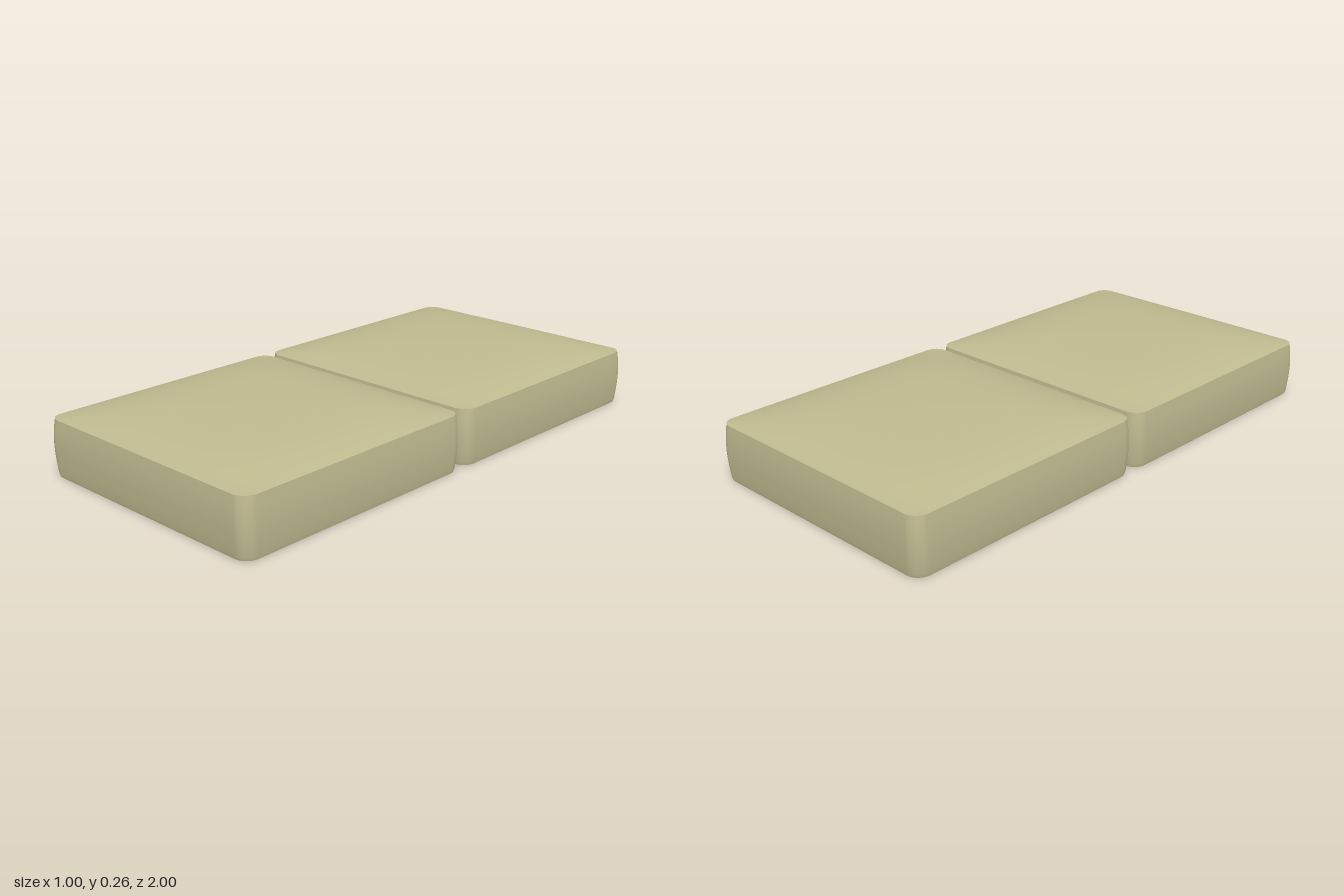
import * as THREE from 'three';

const HALF_X = 0.498, HALF_Z = 0.497, RADIUS = 0.05;
const WALL = 0.207, CROWN = 0.049;

// Rounded rectangle outline in plan, evenly stepped along the straight sides
function outline() {
  const pts = [], ax = HALF_X - RADIUS, az = HALF_Z - RADIUS;
  const corners = [[ax, az], [-ax, az], [-ax, -az], [ax, -az]];
  corners.forEach(([cx, cz], k) => {
    for (let i = 0; i <= 8; i++) {
      const a = (k + i / 8) * Math.PI / 2;
      pts.push([cx + RADIUS * Math.cos(a), cz + RADIUS * Math.sin(a)]);
    }
    const end = pts[pts.length - 1], [nx, nz] = corners[(k + 1) % 4];
    for (let i = 1; i < 20; i++) {
      const t = i / 20;
      pts.push([end[0] + (nx - cx) * t, end[1] + (nz - cz) * t]);
    }
  });
  return pts;
}

// Skin a list of closed rings, running from the bottom up and inwards
function loft(rings) {
  const n = rings[0].length, index = [];
  for (let r = 0; r < rings.length - 1; r++) {
    for (let i = 0; i < n; i++) {
      const a = r * n + i, b = r * n + (i + 1) % n;
      index.push(a, a + n, b, b, a + n, b + n);
    }
  }
  const geo = new THREE.BufferGeometry();
  geo.setAttribute('position', new THREE.Float32BufferAttribute(rings.flat(2), 3));
  geo.setIndex(index);
  geo.computeVertexNormals();
  return geo;
}

export function createModel() {
  const model = new THREE.Group();
  model.name = 'cushionPair';
  const fabric = new THREE.MeshStandardMaterial({ color: 0xbfb98f });
  const plan = outline();
  const inset = (d, y) => plan.map(([x, z]) => [x * (1 - d / HALF_X), y, z * (1 - d / HALF_Z)]);

  // Slightly bulging side walls
  const sideProfile = [[0.009, 0], [0.006, 0.012], [0.003, 0.045], [0.0008, 0.08], [0, 0.11],
    [0.001, 0.145], [0.003, 0.175], [0.007, WALL]];
  const sideGeo = loft(sideProfile.map(([d, y]) => inset(d, y)));

  // Domed top: steep near the edges, nearly flat in the middle
  const topRings = [];
  for (let k = 0; k <= 24; k++) {
    const s = Math.pow(1 - k / 24, 1.0) * (2 - (1 - k / 24));
    topRings.push(inset(0.007, 0).map(([x, , z]) => {
      const u = x * s / (HALF_X - 0.007), v = z * s / (HALF_Z - 0.007);
      return [x * s, WALL + CROWN * (1 - u ** 4) * (1 - v ** 4), z * s];
    }));
  }
  const topGeo = loft(topRings);

  // Flat underside
  const baseGeo = new THREE.ShapeGeometry(
    new THREE.Shape(inset(0.009, 0).map(([x, , z]) => new THREE.Vector2(x, z))));
  baseGeo.rotateX(Math.PI / 2);

  for (const [name, z] of [['frontCushion', 0.503], ['backCushion', -0.503]]) {
    const cushion = new THREE.Group();
    cushion.name = name;
    for (const [part, geo] of [['sides', sideGeo], ['crown', topGeo], ['underside', baseGeo]]) {
      const mesh = new THREE.Mesh(geo, fabric);
      mesh.name = part;
      cushion.add(mesh);
    }
    cushion.position.z = z;
    model.add(cushion);
  }
  return model;
}
